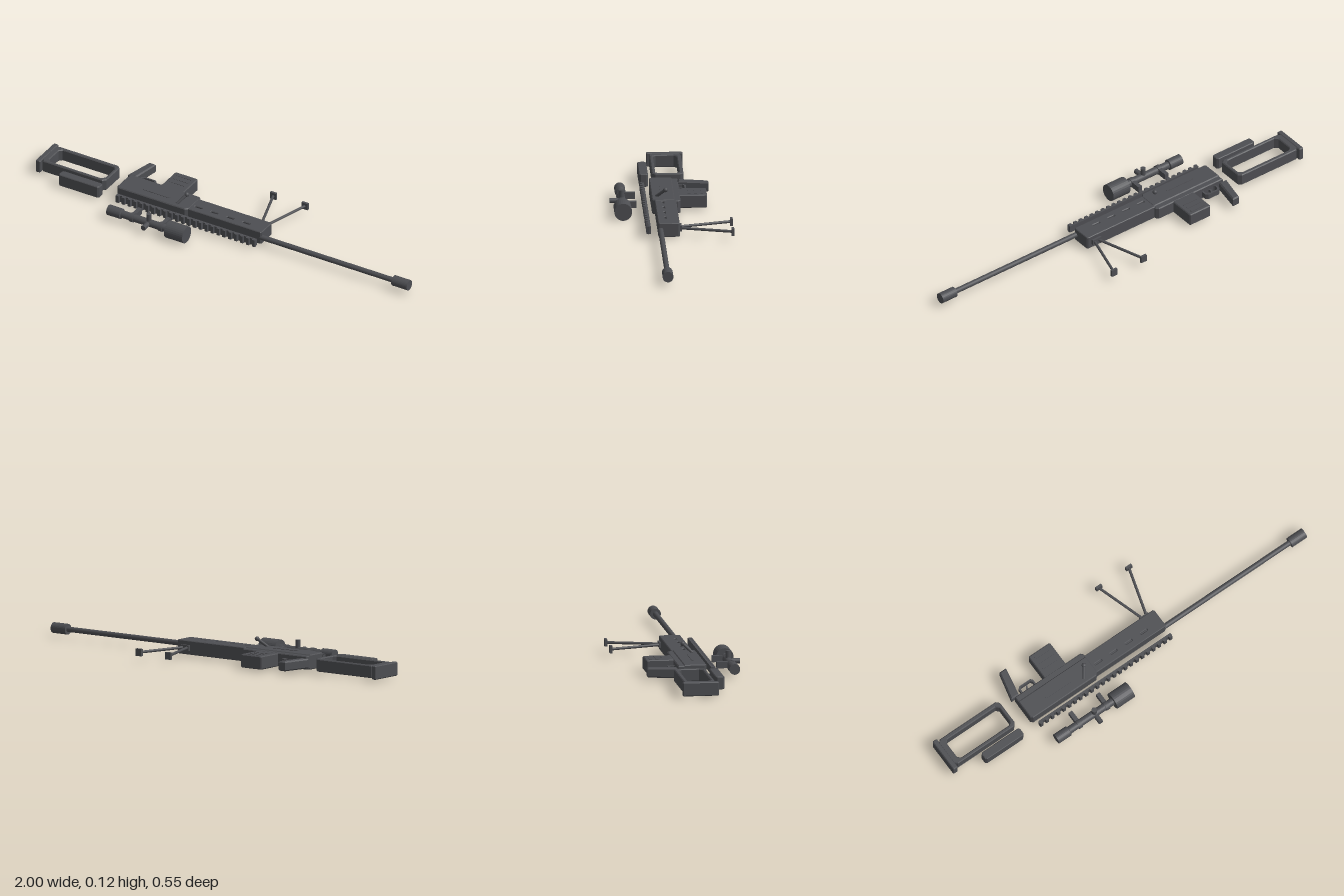
import * as THREE from 'three';

const mat = new THREE.MeshStandardMaterial({ color: 0x4d4e52, flatShading: true });
const round = new THREE.MeshStandardMaterial({ color: 0x4d4e52 });
const MID = 0.043; // height of the centre line of every part

export function createModel() {
  const root = new THREE.Group();

  const add = (name, geo, m = mat) => {
    const mesh = new THREE.Mesh(geo, m);
    mesh.name = name;
    root.add(mesh);
    return mesh;
  };
  // box given by its limits
  const box = (name, x0, x1, y0, y1, z0, z1) =>
    add(name, new THREE.BoxGeometry(x1 - x0, y1 - y0, z1 - z0)).position.set((x0 + x1) / 2, (y0 + y1) / 2, (z0 + z1) / 2);
  // cylinder between two points
  const rod = (name, a, b, r, seg = 20) => {
    const p = new THREE.Vector3(...a), q = new THREE.Vector3(...b), d = q.clone().sub(p);
    const mesh = add(name, new THREE.CylinderGeometry(r, r, d.length(), seg), round);
    mesh.position.copy(p).add(q).multiplyScalar(0.5);
    mesh.quaternion.setFromUnitVectors(new THREE.Vector3(0, 1, 0), d.normalize());
  };
  const path = (pts) => pts.map(([x, z]) => new THREE.Vector2(x, -z));
  // outline in x and z, raised from y0 to y1 with chamfered rims
  const slab = (name, pts, y0, y1, bevel = 0, holes = []) => {
    const shape = new THREE.Shape(path(pts));
    shape.holes = holes.map((h) => new THREE.Path(path(h)));
    const geo = new THREE.ExtrudeGeometry(shape, {
      depth: y1 - y0 - 2 * bevel, bevelEnabled: bevel > 0, bevelSize: bevel,
      bevelOffset: -bevel, bevelThickness: bevel, bevelSegments: 1,
    });
    geo.rotateX(-Math.PI / 2).translate(0, y0 + bevel, 0);
    add(name, geo);
  };
  // rectangle with cut corners, counter-clockwise seen from above
  const cut = (x0, x1, z0, z1, c) => [
    [x0, z0 + c], [x0, z1 - c], [x0 + c, z1], [x1 - c, z1],
    [x1, z1 - c], [x1, z0 + c], [x1 - c, z0], [x0 + c, z0]];
  // turned part along x from [x, radius] points
  const turned = (name, pts, z) => {
    const geo = new THREE.LatheGeometry(pts.map(([x, r]) => new THREE.Vector2(r, x)), 28);
    geo.rotateZ(-Math.PI / 2);
    add(name, geo).position.set(0, MID, z);
  };

  // open stock, butt plate and cheek rest
  slab('stockFrame', cut(-0.98, -0.634, -0.08, 0.066, 0.015), 0.016, 0.075, 0.004, [cut(-0.95, -0.65, -0.06, 0.05, 0.014)]);
  slab('buttPlate', cut(-1, -0.975, -0.09, 0.079, 0.004), 0.012, 0.077, 0.004);
  slab('cheekRest', cut(-0.85, -0.632, 0.085, 0.126, 0.008), 0.013, 0.073, 0.003);

  // receiver: broad upper block with a narrower lower block
  slab('receiver', [[-0.562, -0.02], [-0.562, 0.075], [-0.552, 0.085], [-0.195, 0.085],
    [-0.18, 0.07], [-0.18, -0.02]], 0.008, 0.078, 0.004);
  slab('lowerReceiver', [[-0.562, -0.01], [-0.18, -0.01], [-0.18, -0.034], [-0.192, -0.047],
    [-0.562, -0.047]], 0.012, 0.074, 0.004);
  slab('portCover', cut(-0.45, -0.3, 0.03, 0.043, 0.004), 0.074, 0.08);

  // handguard shell with vent slots around a solid core
  const slots = [-0.168, -0.082, 0.004, 0.09].map((x) => cut(x, x + 0.038, 0.033, 0.041, 0.002));
  slab('handguard', cut(-0.19, 0.21, -0.026, 0.073, 0.006), 0.011, 0.076, 0.003, slots);
  box('handguardCore', -0.18, 0.2, 0.02, 0.067, 0.02, 0.055);

  // barrel and muzzle
  rod('barrel', [0.2, MID, 0.062], [0.93, MID, 0.062], 0.0125);
  turned('muzzleBrake', [[0.917, 0], [0.917, 0.025], [1, 0.025], [1, 0]], 0.062);

  // magazine with low ribs on both faces
  slab('magazine', cut(-0.396, -0.275, -0.173, -0.04, 0.005), 0.011, 0.073, 0.004);
  for (const z of [-0.15, -0.12, -0.09]) {
    box('magazineRib', -0.375, -0.295, 0.07, 0.0745, z - 0.006, z + 0.006);
    box('magazineRib', -0.375, -0.295, 0.0095, 0.014, z - 0.006, z + 0.006);
  }

  // grip, trigger guard and trigger
  slab('grip', [[-0.58, -0.05], [-0.548, -0.19], [-0.511, -0.19], [-0.537, -0.05]], 0.02, 0.066, 0.006);
  slab('triggerGuard', cut(-0.522, -0.44, -0.084, -0.04, 0.01), 0.03, 0.056, 0, [cut(-0.514, -0.448, -0.076, -0.044, 0.008)]);
  slab('trigger', [[-0.49, -0.04], [-0.476, -0.04], [-0.482, -0.056], [-0.476, -0.07], [-0.484, -0.07], [-0.491, -0.056]], 0.037, 0.049);

  // bolt handle
  rod('boltHandle', [-0.25, 0.076, 0.064], [-0.22, 0.115, 0.023], 0.007, 12);
  const knob = add('boltKnob', new THREE.SphereGeometry(0.011, 16, 12), round);
  knob.position.set(-0.22, 0.115, 0.022);

  // toothed top rail
  box('railBase', -0.54, 0.208, 0.027, 0.061, 0.108, 0.118);
  for (let i = 0; i < 24; i++) {
    const x = -0.532 + i * 0.0318;
    slab('railTooth', [[x - 0.01, 0.117], [x + 0.01, 0.117], [x + 0.007, 0.128], [x - 0.007, 0.128]], 0.025, 0.062);
  }

  // bipod
  box('bipodMount', 0.135, 0.185, 0.03, 0.056, -0.036, -0.02);
  for (const [x0, x1] of [[0.15, 0.072], [0.17, 0.242]]) {
    rod('bipodLeg', [x0, MID, -0.025], [x1, MID, -0.268], 0.0065, 10);
    box('bipodFoot', x1 - 0.016, x1 + 0.016, 0.026, 0.06, -0.276, -0.264);
  }

  // scope, turrets and mounts
  turned('scope', [[-0.52, 0], [-0.52, 0.025], [-0.45, 0.025], [-0.447, 0.018], [-0.2, 0.018],
    [-0.2, 0.041], [-0.102, 0.041], [-0.102, 0]], 0.222);
  rod('turret', [-0.304, MID, 0.222], [-0.304, 0.093, 0.222], 0.0125, 16);
  rod('turret', [-0.304, MID, 0.222], [-0.304, MID, 0.276], 0.0125, 16);
  for (const x of [-0.392, -0.236]) {
    box('scopeMount', x - 0.01, x + 0.01, 0.028, 0.058, 0.155, 0.21);
    rod('scopeRing', [x - 0.01, MID, 0.222], [x + 0.01, MID, 0.222], 0.022);
  }
  return root;
}
